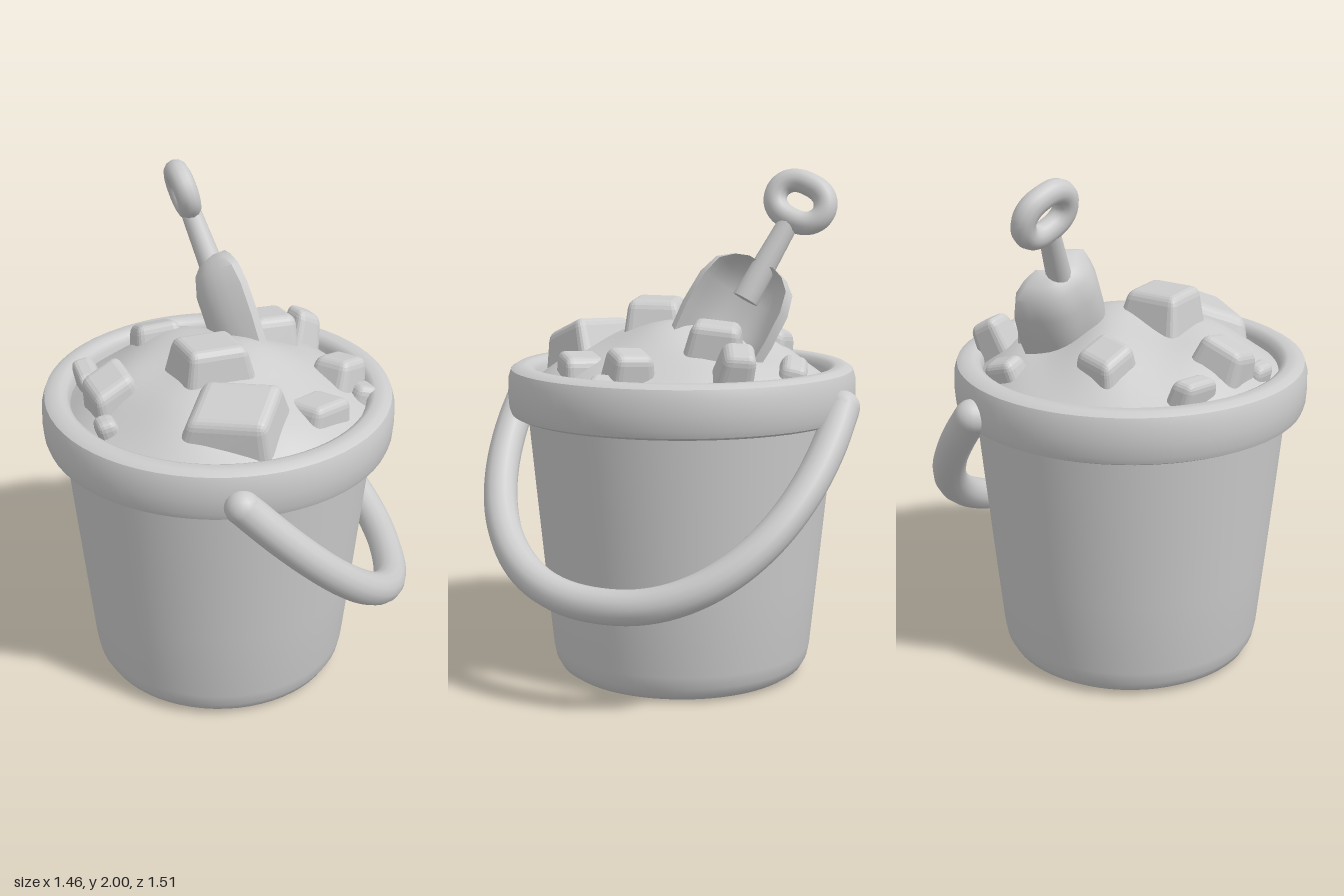
import * as THREE from 'three';
import { mergeVertices, toCreasedNormals } from 'three/addons/utils/BufferGeometryUtils.js';
import { RoundedBoxGeometry } from 'three/addons/geometries/RoundedBoxGeometry.js';

const CX = -0.043; // bucket axis

export function createModel() {
  const group = new THREE.Group();
  const grey = new THREE.MeshStandardMaterial({ color: 0xcccccc });
  grey.name = 'plain grey';

  function add(name, geometry, parent = group) {
    const mesh = new THREE.Mesh(geometry, grey);
    mesh.name = name;
    parent.add(mesh);
    return mesh;
  }
  const profile = (pts) => pts.map(([x, y]) => new THREE.Vector2(x, y));

  // Bucket wall with a rounded foot
  const body = new THREE.LatheGeometry(profile([
    [0, 0.01], [0.42, 0.01], [0.46, 0.015], [0.49, 0.035], [0.51, 0.07], [0.52, 0.12],
    [0.55, 0.42], [0.582, 0.75], [0.612, 1.07],
  ]), 64);
  add('bucketBody', toCreasedNormals(body, 0.7)).position.x = CX;

  // Thick rolled rim, open in the middle
  const rim = new THREE.LatheGeometry(profile([
    [0.58, 1.05], [0.655, 1.05], [0.675, 1.06], [0.684, 1.085], [0.688, 1.14], [0.686, 1.2],
    [0.675, 1.235], [0.65, 1.25], [0.61, 1.25], [0.59, 1.24], [0.578, 1.215], [0.57, 1.12],
  ]), 64);
  add('bucketRim', toCreasedNormals(rim, 0.7)).position.x = CX;

  // Swinging handle: a half loop tilted to the left, with round ends
  const swing = [];
  for (let i = 0; i <= 24; i++) {
    const a = (i / 24) * Math.PI;
    const c = Math.cos(a);
    const drop = Math.pow(Math.max(Math.sin(a), 0), 0.9);
    swing.push(new THREE.Vector3(0.66 * drop, 1.12 - 0.685 * drop,
      0.69 * Math.sign(c) * Math.pow(Math.abs(c), 0.9)));
  }
  add('bucketHandle', new THREE.TubeGeometry(new THREE.CatmullRomCurve3(swing), 72, 0.066, 14));
  for (const end of [swing[0], swing[24]]) {
    add('handleEnd', new THREE.SphereGeometry(0.066, 16, 12)).position.copy(end);
  }

  // Uneven mound of sand
  const moundHeight = (x, z) => {
    const r = Math.min(Math.hypot(x - CX, z) / 0.58, 1);
    const bumps = Math.sin(x * 11 + 1) * Math.cos(z * 9 - 0.6) + 0.6 * Math.sin(x * 7 - z * 13);
    return 1.19 + 0.22 * (1 - r * r) + 0.022 * bumps * (1 - r * r * r);
  };
  const steps = [];
  for (let i = 0; i <= 14; i++) steps.push([0.58 * (1 - i / 14), 1.2]);
  let sand = new THREE.LatheGeometry(profile(steps), 40);
  sand.translate(CX, 0, 0);
  const sp = sand.attributes.position;
  for (let i = 0; i < sp.count; i++) sp.setY(i, moundHeight(sp.getX(i), sp.getZ(i)));
  sand.deleteAttribute('uv');
  sand.deleteAttribute('normal');
  sand = mergeVertices(sand);
  sand.computeVertexNormals();
  add('sandMound', sand);

  // Lumps: x, z, top height, width, depth, turn
  const lumps = [
    [-0.27, -0.27, 1.4, 0.21, 0.19, 0.1], [0.16, -0.23, 1.45, 0.2, 0.22, 0.35],
    [0.32, -0.38, 1.38, 0.16, 0.14, 0.6], [0.42, 0.0, 1.36, 0.17, 0.18, 0.8],
    [0.49, 0.04, 1.27, 0.12, 0.16, 0.2], [-0.53, -0.08, 1.32, 0.12, 0.2, 0.3],
    [-0.45, 0.13, 1.39, 0.19, 0.19, 0.5], [-0.46, 0.27, 1.29, 0.1, 0.12, 0.2],
    [-0.08, 0.12, 1.51, 0.29, 0.24, 0.3], [-0.01, 0.38, 1.4, 0.32, 0.27, -0.25],
    [0.05, -0.49, 1.31, 0.18, 0.12, 0.4], [0.3, 0.25, 1.32, 0.22, 0.2, 0.7],
  ];
  lumps.forEach(([x, z, top, w, d, turn], n) => {
    const h = 0.22;
    const geo = new RoundedBoxGeometry(w, h, d, 2, 0.035);
    const p = geo.attributes.position;
    // Narrow the top and skew each lump differently
    for (let i = 0; i < p.count; i++) {
      const k = 1 - 0.3 * (p.getY(i) / h + 0.5);
      const skew = 0.12 * Math.sin(n * 2.3) * p.getX(i) + 0.15 * Math.cos(n * 1.7) * p.getZ(i);
      p.setXYZ(i, (p.getX(i) * 1.15 + skew) * k, p.getY(i) + skew, p.getZ(i) * 1.15 * k);
    }
    geo.computeVertexNormals();
    const lump = add('sandLump', geo);
    lump.position.set(x, top - h / 2 - 0.01, z);
    // Lean outward with the slope of the mound
    lump.rotation.set(z * 0.6, turn, -(x - CX) * 0.6);
  });

  // Toy spade, built along its own y axis with the grip at the origin
  const spade = new THREE.Group();
  spade.name = 'spade';
  const up = new THREE.Vector3(-0.33, 0.85, -0.38).normalize();
  const across = new THREE.Vector3(-0.06, -0.41, -0.91);
  const face = new THREE.Vector3().crossVectors(across, up).normalize();
  across.crossVectors(up, face);
  spade.quaternion.setFromRotationMatrix(new THREE.Matrix4().makeBasis(across, up, face));
  spade.position.set(-0.155, 1.882, -0.45);
  group.add(spade);

  const loop = [];
  for (let i = 0; i < 20; i++) {
    const a = (i / 20) * Math.PI * 2;
    const c = Math.cos(a);
    loop.push(new THREE.Vector3(0.102 * Math.sign(c) * Math.pow(Math.abs(c), 0.8),
      0.076 * Math.sin(a), 0));
  }
  add('spadeGrip', new THREE.TubeGeometry(new THREE.CatmullRomCurve3(loop, true), 48, 0.046, 12, true), spade);
  add('spadeShaft', new THREE.CylinderGeometry(0.04, 0.052, 0.36, 16), spade).position.y = -0.25;
  add('spadeScoop', scoopGeometry(), spade);

  return group;
}

// Curved blade with thickness, lofted from cross-sections
function scoopGeometry() {
  // distance down, half width, depth of the back, height of the lip
  const rows = [
    [0.28, 0.06, 0.0, 0.035], [0.3, 0.12, -0.04, 0.045], [0.34, 0.17, -0.075, 0.055],
    [0.42, 0.195, -0.1, 0.06], [0.55, 0.2, -0.105, 0.055], [0.75, 0.185, -0.1, 0.04],
  ];
  const n = 16;
  const m = 2 * (n + 1);
  const pos = [];
  const index = [];
  for (const [t, w, back, lip] of rows) {
    for (let i = 0; i < m; i++) {
      const inner = i > n;
      const u = (inner ? m - 1 - i : i) / n * 2 - 1;
      const z = lip + (back - lip) * (1 - Math.pow(Math.abs(u), 3));
      pos.push(u * w * (inner ? 0.86 : 1), -t, z + (inner ? 0.03 : 0));
    }
  }
  for (let j = 0; j < rows.length - 1; j++) {
    for (let i = 0; i < m; i++) {
      const a = j * m + i;
      const b = j * m + (i + 1) % m;
      index.push(a, b, a + m, b, b + m, a + m);
    }
  }
  // Close the top and bottom edges
  const last = (rows.length - 1) * m;
  for (let i = 0; i < n; i++) {
    const p = i, q = m - 1 - i, r = i + 1, s = m - 2 - i;
    index.push(p, q, r, r, q, s);
    index.push(last + p, last + r, last + q, last + r, last + s, last + q);
  }
  const geo = new THREE.BufferGeometry();
  geo.setAttribute('position', new THREE.Float32BufferAttribute(pos, 3));
  geo.setIndex(index);
  return toCreasedNormals(geo, 0.9);
}
